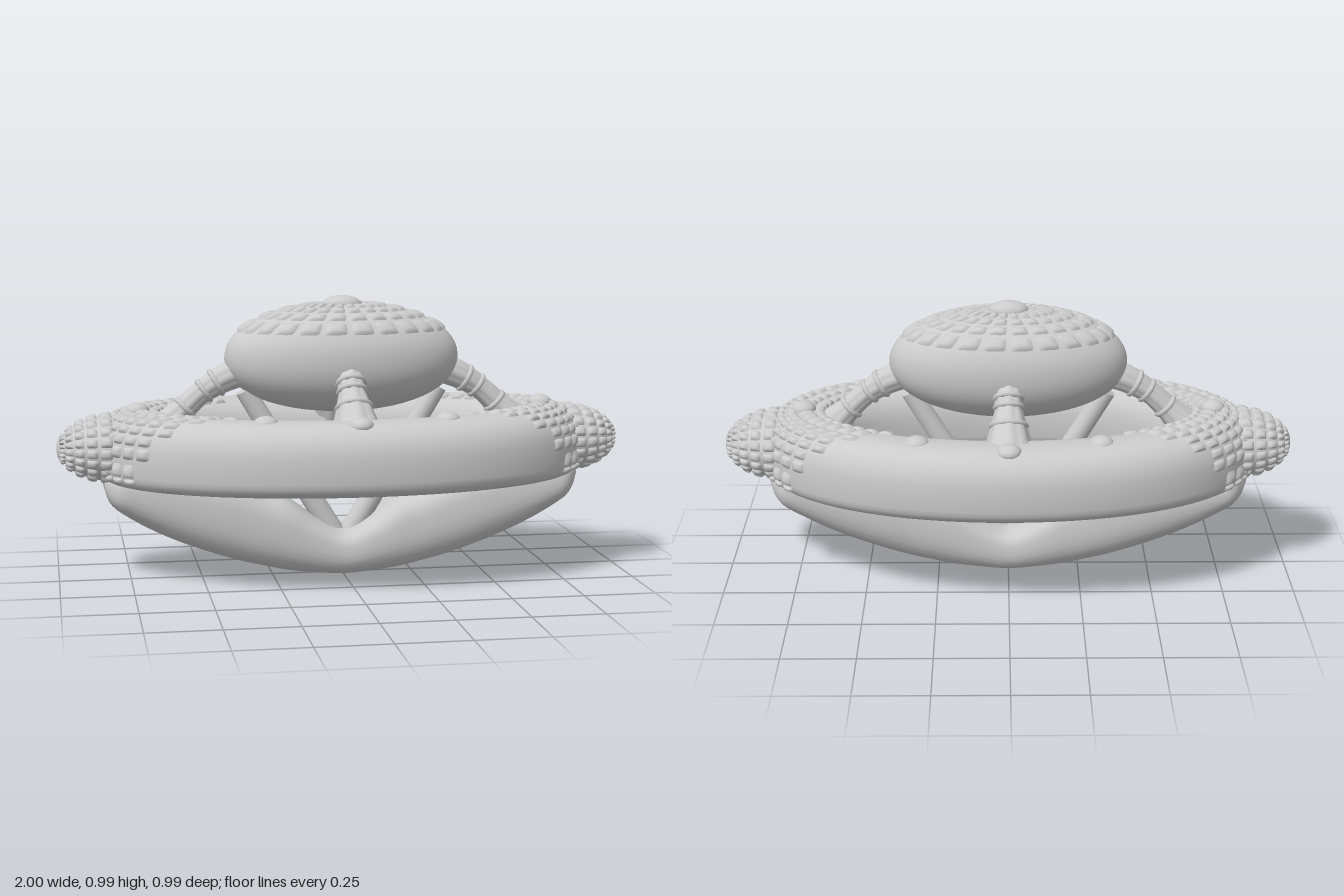
import * as THREE from 'three';
import { mergeVertices, mergeGeometries } from 'three/addons/utils/BufferGeometryUtils.js';

const grey = new THREE.MeshStandardMaterial({ color: 0xcccccc, side: THREE.DoubleSide });
const V = (x, y, z) => new THREE.Vector3(x, y, z);
const spow = (a, e) => Math.sign(a) * Math.abs(a) ** e;

// Grid surface from a point rule P(u, v) over a parameter rectangle
function surface(P, [u0, u1, v0, v1], nu, nv) {
  const pos = [], idx = [];
  for (let i = 0; i <= nu; i++) {
    for (let j = 0; j <= nv; j++) {
      pos.push(...P(u0 + (u1 - u0) * i / nu, v0 + (v1 - v0) * j / nv).toArray());
      if (i === nu || j === nv) continue;
      const a = i * (nv + 1) + j, b = a + nv + 1;
      idx.push(a, b, b + 1, a, b + 1, a + 1);
    }
  }
  let g = new THREE.BufferGeometry();
  g.setAttribute('position', new THREE.Float32BufferAttribute(pos, 3));
  g.setIndex(idx);
  g = mergeVertices(g, 1e-5);
  g.computeVertexNormals();
  return g;
}

// Puffed plates laid on a surface rule, one per parameter cell
function plates(P, cells, height) {
  const e = 1e-3;
  return mergeGeometries(cells.map(([u0, u1, v0, v1]) => {
    const bulge = (u, v) => {
      const a = 2 * (u - u0) / (u1 - u0) - 1, b = 2 * (v - v0) / (v1 - v0) - 1;
      const p = P(u, v);
      const n = P(u + e, v).sub(p).cross(P(u, v + e).sub(p)).normalize();
      return p.addScaledVector(n, -0.005 + (height + 0.005) * (1 - a ** 4) * (1 - b ** 4));
    };
    return surface(bulge, [u0, u1, v0, v1], 6, 6);
  }));
}

// Rounded egg around the y axis
const egg = (rx, ry, rz, n = 2) => (t, f) => {
  const c = spow(Math.cos(f), 2 / n);
  return V(rx * c * Math.cos(t), ry * spow(Math.sin(f), 2 / n), -rz * c * Math.sin(t));
};
const WHOLE = [0, Math.PI * 2, -Math.PI / 2, Math.PI / 2];

// Rows of cells running round an egg
function bands(rows, columns) {
  const cells = [], step = Math.PI * 2 / columns;
  for (let r = 0; r < rows.length - 1; r++)
    for (let i = 0; i < columns; i++)
      cells.push([(i + 0.03) * step, (i + 0.97) * step, rows[r] + 0.008, rows[r + 1] - 0.008]);
  return cells;
}

// Oval ring: flat underside, rounded top
function ringPoint(t, s) {
  const c = Math.cos(s), q = Math.sin(s);
  const e = q > 0 ? 0.8 : 0.5;
  const k = spow(c, e), y = 0.45 + (q > 0 ? 0.15 : 0.1) * spow(q, e);
  return V((0.72 + 0.14 * k) * Math.cos(t), y, -(0.365 + 0.132 * k) * Math.sin(t));
}

// Keel stations: x, bottom height, top height
const half = [[0.1, 0.01, 0.21], [0.2, 0.022, 0.28], [0.28, 0.04, 0.305], [0.38, 0.065, 0.35],
  [0.6, 0.145, 0.4], [0.75, 0.225, 0.4], [0.82, 0.28, 0.39], [0.84, 0.335, 0.37]];
const keelCurve = new THREE.CatmullRomCurve3([
  ...half.map(([x, b, t]) => V(-x, b, t)).reverse(), V(0, 0.003, 0.165), ...half.map((p) => V(...p))]);
function keelPoint(u, s) {
  const { x, y: low, z: high } = keelCurve.getPoint(u);
  const w = (0.117 + 0.018 * Math.min(1, Math.abs(x) / 0.45)) *
    Math.min(1, Math.sqrt(Math.max(0, 0.86 - Math.abs(x)) / 0.07));
  const q = Math.sin(s);
  const y = (low + high) / 2 + (high - low) / 2 * spow(q, q > 0 ? 0.7 : 0.9);
  return V(x, y, w * spow(Math.cos(s), 0.7));
}

export function createModel() {
  const model = new THREE.Group();
  const add = (name, geometry, parent = model) => {
    const m = new THREE.Mesh(geometry, grey);
    m.name = name;
    parent.add(m);
    return m;
  };
  const TAU = Math.PI * 2;

  add('ringHull', surface(ringPoint, [0, TAU, 0, TAU], 72, 32));
  add('keel', surface(keelPoint, [0, 1, 0, TAU], 56, 28));

  // Central pod with plated dome and cap
  const pod = new THREE.Group();
  pod.name = 'pod';
  pod.position.y = 0.775;
  model.add(pod);
  const podShape = egg(0.415, 0.19, 0.21, 2.15);
  add('podShell', surface(podShape, WHOLE, 48, 28), pod);
  add('domePlates', plates(podShape, bands([0.46, 0.78, 1.0, 1.18, 1.36], 24), 0.009), pod);
  add('domeCap', surface(egg(0.07, 0.032, 0.05), WHOLE, 24, 12), pod).position.y = 0.185;

  // Ribbed arm in the plane of its own outward direction
  function arm(points, radii, angle, name) {
    const g = new THREE.Group();
    g.name = name;
    g.rotation.y = angle;
    model.add(g);
    const curve = new THREE.CatmullRomCurve3(points.map(([x, y]) => V(x, y, 0)));
    const radius = (u) => {
      const k = Math.min(u * (radii.length - 1), radii.length - 1.0001), i = Math.floor(k);
      return THREE.MathUtils.lerp(radii[i], radii[i + 1], k - i);
    };
    const point = (u, s) => {
      const tan = curve.getTangent(u), r = radius(u) * (1 + 0.07 * Math.abs(Math.cos(4 * s)));
      return curve.getPoint(u).add(V(-tan.y, tan.x, 0).multiplyScalar(r * Math.cos(s)))
        .add(V(0, 0, r * Math.sin(s)));
    };
    add('armShaft', surface(point, [0, 1, 0, TAU], 20, 48), g);
    for (const u of [0.3, 0.45, 0.72]) {
      const rib = add('armRib', new THREE.TorusGeometry(radius(u), 0.01, 8, 24), g);
      rib.position.copy(curve.getPoint(u));
      rib.quaternion.setFromUnitVectors(V(0, 0, 1), curve.getTangent(u));
    }
  }
  const sideArm = [[0.36, 0.73], [0.43, 0.7], [0.5, 0.655], [0.56, 0.6], [0.62, 0.54]];
  const crossArm = [[0.15, 0.74], [0.19, 0.71], [0.225, 0.67], [0.265, 0.62], [0.32, 0.54]];

  [0, Math.PI].forEach((angle, i) => {
    const side = i ? 'right' : 'left';
    arm(sideArm, [0.05, 0.045, 0.037, 0.04, 0.055], angle, side + 'Arm');
    arm(crossArm, [0.04, 0.045, 0.045, 0.06, 0.085], angle - Math.PI / 2, i ? 'backArm' : 'frontArm');

    const end = new THREE.Group();
    end.name = side + 'End';
    end.rotation.y = angle;
    model.add(end);

    // Plated nose pointing outward
    const nose = new THREE.Group();
    nose.name = 'nose';
    nose.position.set(0.8, 0.472, 0);
    nose.rotation.z = -Math.PI / 2;
    end.add(nose);
    const noseShape = egg(0.115, 0.192, 0.16);
    add('noseShell', surface(noseShape, WHOLE, 36, 20), nose);
    add('nosePlates', plates(noseShape, bands([0.02, 0.3, 0.56, 0.82, 1.08, 1.32], 18), 0.01), nose);
    const tip = add('noseTip', new THREE.SphereGeometry(0.04, 20, 10), nose);
    tip.position.y = 0.186;
    tip.scale.y = 0.35;

    // Plates stepping back over the ring, further on the inner rows
    const cells = [], step = 0.105;
    for (let r = 0; r < 9; r++) {
      const s = -0.55 + r * 0.29;
      const count = 5 + Math.floor(r / 2);
      for (let c = -count; c < count; c++)
        cells.push([(c + 0.04) * step, (c + 0.96) * step, s + 0.012, s + 0.278]);
    }
    add('ringPlates', plates(ringPoint, cells, 0.01), end);

    // Inclined strut from keel to pod
    const a = V(0.02, 0.13, 0), b = V(0.345, 0.665, 0), d = b.clone().sub(a);
    const strut = add('strut', new THREE.CylinderGeometry(0.034, 0.04, d.length(), 16), end);
    strut.position.copy(a).add(b).multiplyScalar(0.5);
    strut.quaternion.setFromUnitVectors(V(0, 1, 0), d.normalize());

    // Domed studs on top of the ring
    for (const [x, y, z] of [[0.72, 0.6, 0], [0, 0.588, 0.405], [0.31, 0.59, 0.33], [0.31, 0.59, -0.33]]) {
      const stud = add('stud', new THREE.SphereGeometry(0.043, 20, 12), end);
      stud.position.set(x, y, z);
      stud.scale.y = 0.65;
    }
  });
  return model;
}
